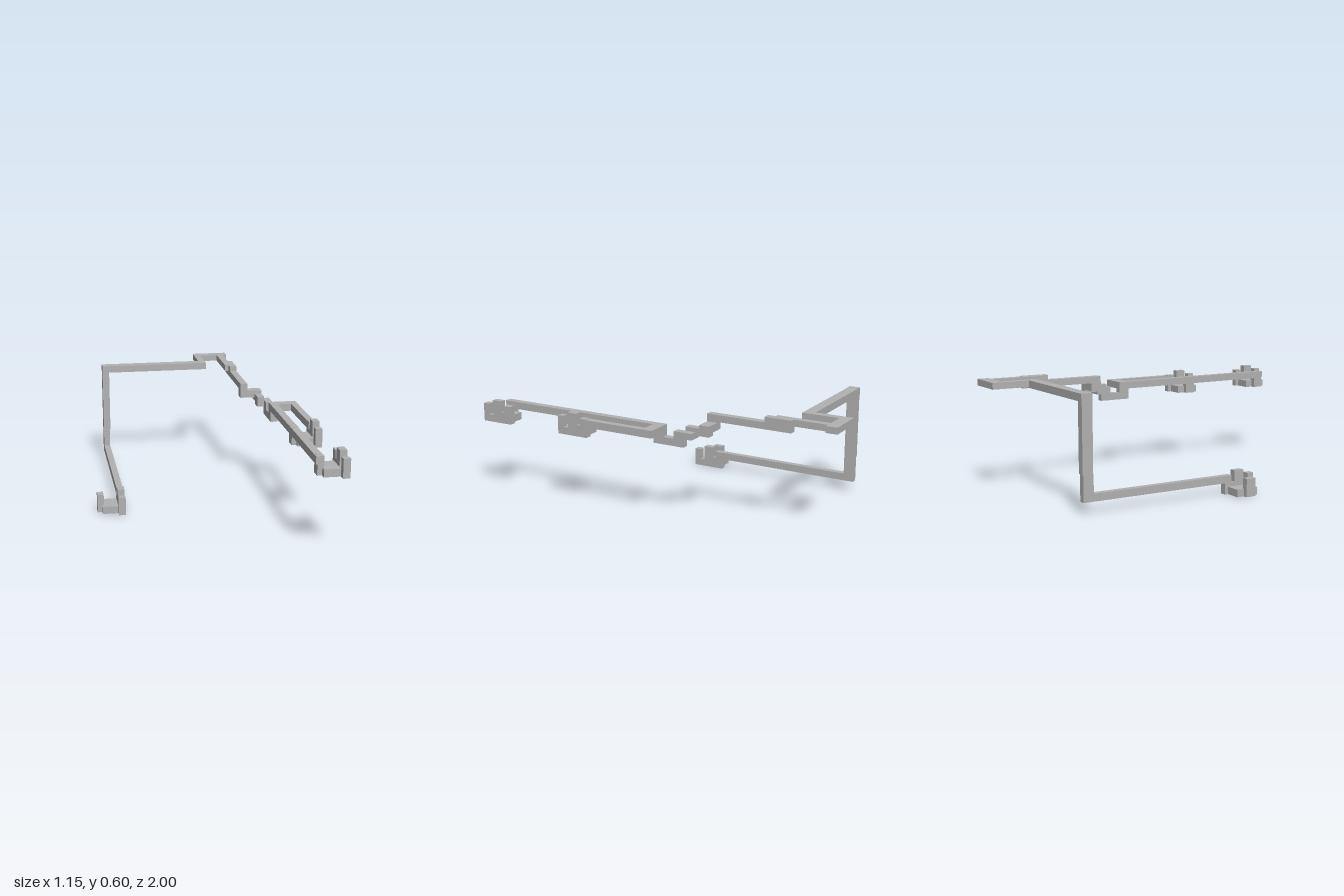
import * as THREE from 'three';

const grey = new THREE.MeshStandardMaterial({ color: 0xb2b2b2 });
grey.name = 'plain grey';

// Box given by its limits on each axis
function bar(parent, name, [x0, x1], [y0, y1], [z0, z1]) {
  const mesh = new THREE.Mesh(new THREE.BoxGeometry(x1 - x0, y1 - y0, z1 - z0), grey);
  mesh.position.set((x0 + x1) / 2, (y0 + y1) / 2, (z0 + z1) / 2);
  mesh.name = name;
  parent.add(mesh);
}

// Small stand with a row of posts on one side and a single post opposite
function makeClip(name, x, y, z) {
  const clip = new THREE.Group();
  clip.name = name;
  const row = [0.11, 0.147];
  bar(clip, 'clipBase', [0.025, 0.112], [0, 0.04], [0.02, 0.148]);
  bar(clip, 'clipRail', row, [0, 0.04], [0, 0.182]);
  bar(clip, 'clipBackPost', row, [0, 0.1], [0, 0.042]);
  bar(clip, 'clipBackLip', row, [0.035, 0.062], [0.03, 0.065]);
  bar(clip, 'clipMiddlePost', row, [0, 0.123], [0.062, 0.118]);
  bar(clip, 'clipFrontPost', row, [0, 0.1], [0.146, 0.182]);
  bar(clip, 'clipInnerPost', [0, 0.034], [0, 0.098], [0.062, 0.118]);
  clip.position.set(x, y, z);
  return clip;
}

export function createModel() {
  const model = new THREE.Group();
  model.name = 'barFrame';

  // Low arm, upright and top beam
  bar(model, 'lowArm', [-0.465, -0.43], [0.06, 0.1], [-0.79, 0.087]);
  bar(model, 'uprightLower', [-0.465, -0.43], [0.06, 0.2], [-0.79, -0.733]);
  bar(model, 'uprightUpper', [-0.465, -0.425], [0.2, 0.6], [-0.793, -0.735]);
  bar(model, 'topBeam', [-0.465, 0.172], [0.56, 0.6], [-0.795, -0.737]);

  // Loop at the back
  bar(model, 'backLink', [0.132, 0.172], [0.565, 0.6], [-1, -0.737]);
  bar(model, 'backBeam', [0.132, 0.337], [0.565, 0.6], [-1, -0.938]);
  bar(model, 'returnBar', [0.275, 0.312], [0.565, 0.6], [-0.94, -0.65]);

  // Joint and bar going forward
  bar(model, 'joint', [0.297, 0.337], [0.535, 0.6], [-0.755, -0.607]);
  bar(model, 'forwardBar', [0.297, 0.337], [0.535, 0.572], [-0.61, -0.28]);

  // Zigzag steps
  bar(model, 'stepDrop', [0.297, 0.337], [0.49, 0.572], [-0.338, -0.28]);
  bar(model, 'stepAcross', [0.297, 0.42], [0.49, 0.53], [-0.338, -0.28]);
  bar(model, 'stepForward', [0.38, 0.42], [0.472, 0.512], [-0.338, -0.2]);
  bar(model, 'stepSide', [0.38, 0.46], [0.455, 0.49], [-0.258, -0.2]);
  bar(model, 'stepDown', [0.42, 0.46], [0.41, 0.49], [-0.21, -0.152]);
  bar(model, 'stepLow', [0.42, 0.46], [0.41, 0.45], [-0.21, -0.03]);
  bar(model, 'stepUp', [0.42, 0.46], [0.41, 0.51], [-0.09, -0.03]);

  // Forked front arms
  bar(model, 'forkCross', [0.42, 0.574], [0.47, 0.51], [-0.09, -0.03]);
  bar(model, 'longArm', [0.42, 0.46], [0.47, 0.51], [-0.09, 0.936]);
  bar(model, 'shortArm', [0.537, 0.574], [0.47, 0.51], [-0.09, 0.355]);

  // Clips at the arm ends
  model.add(makeClip('lowClip', -0.577, 0, 0.047));
  model.add(makeClip('shortArmClip', 0.427, 0.413, 0.313));
  model.add(makeClip('longArmClip', 0.427, 0.413, 0.818));
  return model;
}
